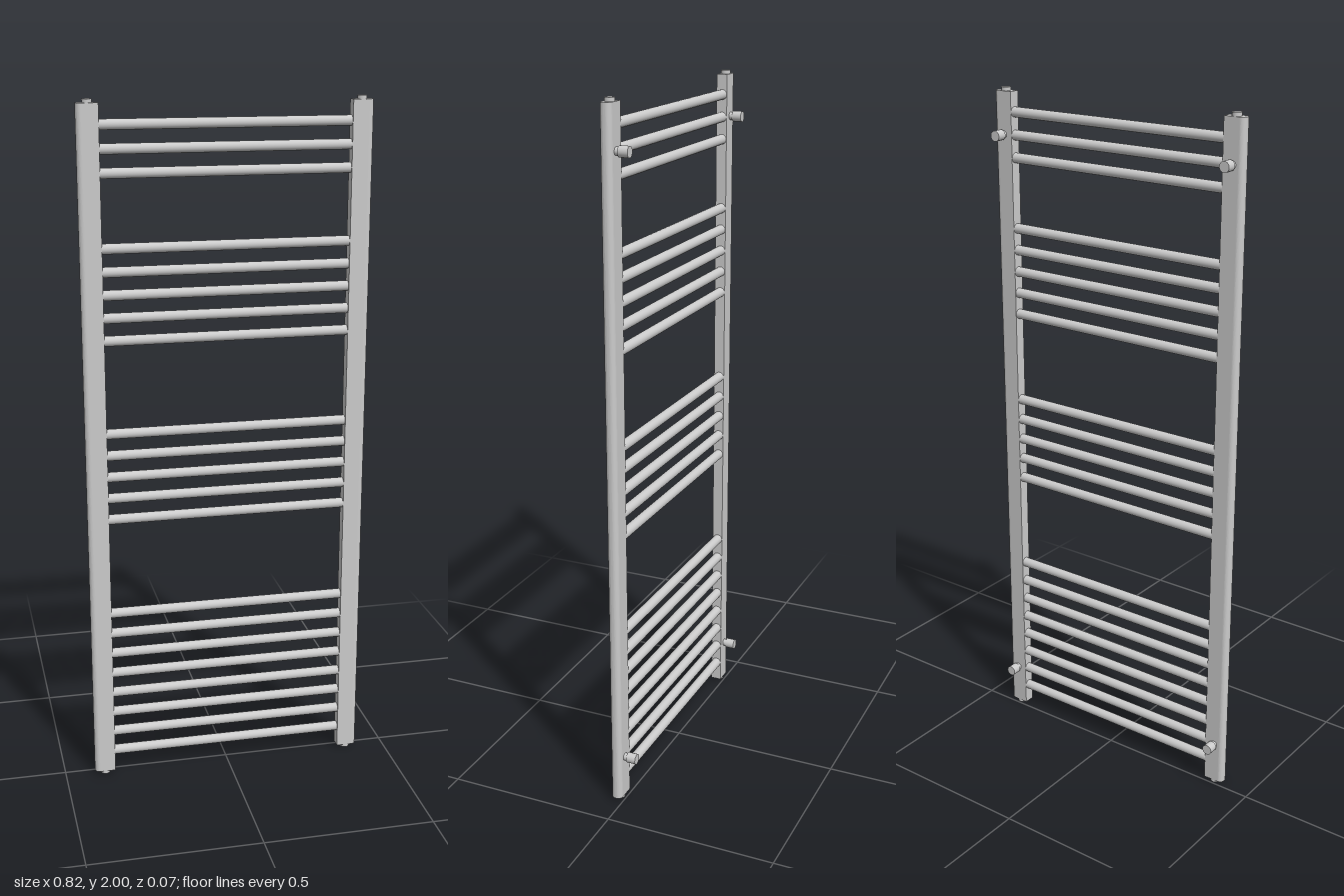
import * as THREE from 'three';

const material = new THREE.MeshStandardMaterial({ color: 0xcccccc });
const INNER = 0.351, OUTER = 0.412, BACK = 0.003, FRONT = 0.035;
const POST_X = 0.38, MID_Z = 0.018;

function add(parent, name, geometry, x = 0, y = 0, z = 0) {
  const mesh = new THREE.Mesh(geometry, material);
  mesh.name = name;
  mesh.position.set(x, y, z);
  parent.add(mesh);
  return mesh;
}

// Upright profile: square towards the bars, rounded on the outer edge
function postGeometry(side) {
  const r = 0.0145;
  const pts = [[INNER, BACK], [INNER, FRONT]];
  for (let i = 0; i <= 10; i++) {
    const a = Math.PI / 2 * (1 - i / 10);
    pts.push([OUTER - r + r * Math.cos(a), FRONT - r + r * Math.sin(a)]);
  }
  for (let i = 0; i <= 10; i++) {
    const a = -Math.PI / 2 * i / 10;
    pts.push([OUTER - r + r * Math.cos(a), BACK + r + r * Math.sin(a)]);
  }
  // Shape y becomes -z once the extrusion is stood upright
  const shape = new THREE.Shape(pts.map(([x, z]) => new THREE.Vector2(side * x, -z)));
  const geometry = new THREE.ExtrudeGeometry(shape, { depth: 1.98, bevelEnabled: false });
  return geometry.rotateX(-Math.PI / 2).translate(0, 0.01, 0);
}

export function createModel() {
  const model = new THREE.Group();
  model.name = 'towelRadiator';

  // Horizontal bars: [lowest height, count] of each bank
  const spacing = 0.0643;
  const bar = new THREE.CylinderGeometry(0.0145, 0.0145, 0.704, 32).rotateZ(Math.PI / 2);
  const banks = [[0.072, 8], [0.816, 5], [1.343, 5], [1.804, 3]];
  for (const [base, count] of banks) {
    const bank = new THREE.Group();
    bank.name = 'barBank';
    for (let i = 0; i < count; i++) add(bank, 'bar', bar, 0, base + i * spacing, MID_Z);
    model.add(bank);
  }

  // Uprights with end plugs and wall mounts
  const plug = new THREE.CylinderGeometry(0.0135, 0.0135, 0.02, 32);
  const neck = new THREE.CylinderGeometry(0.011, 0.011, 0.016, 32).rotateX(Math.PI / 2);
  const foot = new THREE.CylinderGeometry(0.015, 0.015, 0.028, 32).rotateX(Math.PI / 2);
  for (const side of [-1, 1]) {
    const label = side > 0 ? 'left' : 'right';
    const x = side * POST_X;
    add(model, label + 'Post', postGeometry(side));
    for (const y of [0.01, 1.99]) add(model, label + 'EndPlug', plug, x, y, MID_Z + 0.001);
    for (const y of [0.136, 1.869]) {
      const mount = new THREE.Group();
      mount.name = label + 'WallMount';
      mount.position.set(x, y, 0);
      add(mount, 'mountNeck', neck, 0, 0, -0.002);
      add(mount, 'mountFoot', foot, 0, 0, -0.021);
      model.add(mount);
    }
  }
  return model;
}
